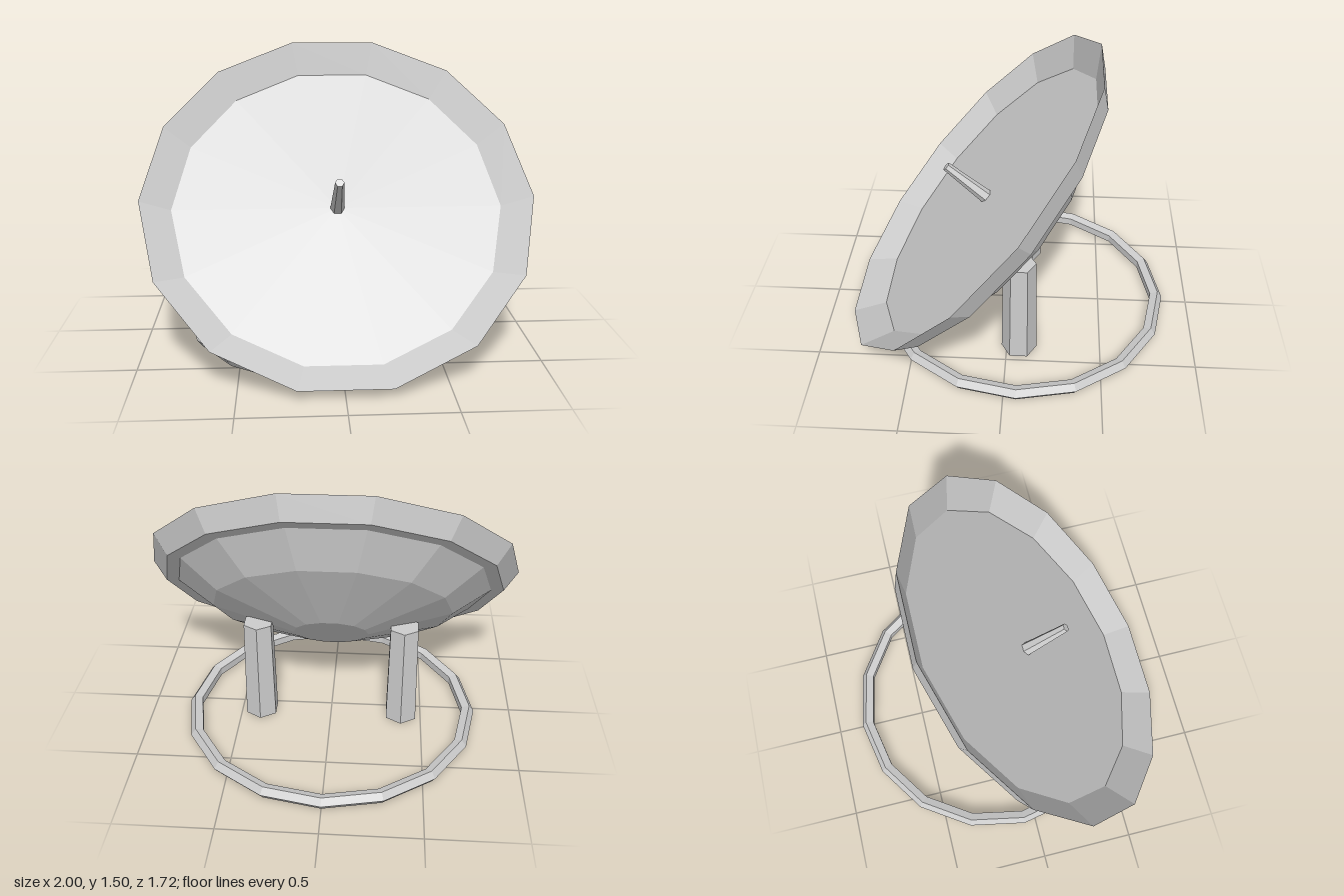
import * as THREE from 'three';

export function createModel() {
  const model = new THREE.Group();
  model.name = 'satelliteDish';

  const grey = new THREE.MeshStandardMaterial({ color: 0xcccccc });
  grey.name = 'light grey';
  grey.flatShading = true;

  const add = (parent, name, geometry) => {
    const mesh = new THREE.Mesh(geometry, grey);
    mesh.name = name;
    parent.add(mesh);
    return mesh;
  };

  // 14-sided turned part with a corner on the x axis
  const turned = (points) =>
    new THREE.LatheGeometry(points.map(([r, h]) => new THREE.Vector2(r, h)), 14, Math.PI / 2);

  // Tilted dish: its axis points forward and up
  const dish = new THREE.Group();
  dish.name = 'dish';
  dish.position.set(0, 0.775, 0.21);
  dish.rotation.x = THREE.MathUtils.degToRad(48.1);
  model.add(dish);

  const back = -0.105;
  // Bowl with a flat hub behind and a flat face in front
  add(dish, 'bowl', turned([[0, -0.375], [0.2, -0.375], [0.647, -0.243], [0.85, back], [0, back]]));
  // Flared rim
  add(dish, 'rim', turned([[0.85, back], [0.918, back], [1, 0], [0.85, back]]));

  // Tapered receiver on the dish axis
  const receiver = add(dish, 'receiver', new THREE.CylinderGeometry(0.023, 0.038, 0.29, 6));
  receiver.rotation.y = Math.PI / 2;
  receiver.position.y = 0.026;

  // Two hexagonal legs
  for (const [name, side] of [['leftLeg', 1], ['rightLeg', -1]]) {
    const leg = add(model, name, new THREE.CylinderGeometry(0.084, 0.094, 0.58, 6));
    leg.position.set(side * 0.39, 0.29, -0.066);
  }

  // Ground ring
  const ring = add(model, 'baseRing', new THREE.TorusGeometry(0.758, 0.037, 5, 16));
  ring.rotation.x = Math.PI / 2;
  ring.position.set(0, 0.0352, -0.066);

  return model;
}
